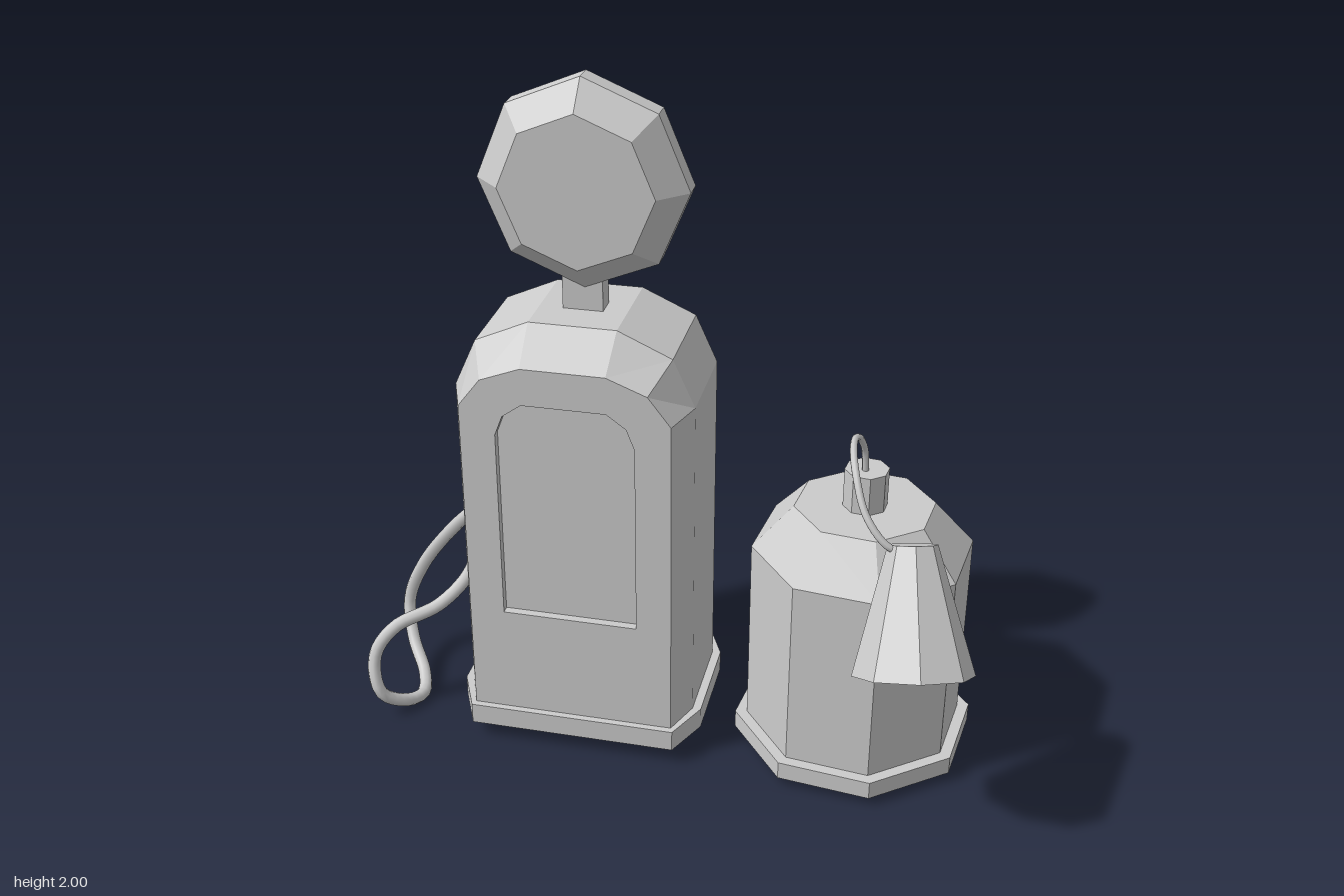
import * as THREE from 'three';
import { mergeGeometries } from 'three/addons/utils/BufferGeometryUtils.js';

const flat = new THREE.MeshStandardMaterial({ color: 0xcccccc, flatShading: true, side: THREE.DoubleSide });
const smooth = new THREE.MeshStandardMaterial({ color: 0xcccccc });

const V = (x, y, z) => new THREE.Vector3(x, y, z);
const shapeOf = (pts) => new THREE.Shape(pts.map(([x, y]) => new THREE.Vector2(x, y)));
// Right half of a symmetric outline, completed with its mirror image
const mirrored = (half) => [...half, ...half.slice().reverse().map(([x, y]) => [-x, y])];

function add(parent, name, geometry, material = flat) {
  const mesh = new THREE.Mesh(geometry, material);
  mesh.name = name;
  parent.add(mesh);
  return mesh;
}

// Quads between successive rings, each ring given as [outline, z]; skip(ring, side) leaves gaps
function loft(rings, closed = false, skip = () => false) {
  const pos = [];
  for (let r = 0; r < rings.length - 1; r++) {
    const [p, z0] = rings[r], [q, z1] = rings[r + 1];
    const count = closed ? p.length : p.length - 1;
    for (let i = 0; i < count; i++) {
      if (skip(r, i)) continue;
      const j = (i + 1) % p.length;
      const a = [...p[i], z0], b = [...p[j], z0], c = [...q[j], z1], d = [...q[i], z1];
      pos.push(...a, ...d, ...b, ...b, ...d, ...c);
    }
  }
  const g = new THREE.BufferGeometry();
  g.setAttribute('position', new THREE.Float32BufferAttribute(pos, 3));
  g.computeVertexNormals();
  return g;
}

function plainFace(shape) {
  const g = new THREE.ShapeGeometry(shape).toNonIndexed();
  g.deleteAttribute('uv');
  return g;
}

// Flat face with a sunken panel
function recessedFace(outline, hole, depth) {
  const face = shapeOf(outline);
  face.holes.push(shapeOf(hole));
  const rim = hole.slice().reverse();
  return mergeGeometries([
    plainFace(face),
    plainFace(shapeOf(hole)).translate(0, 0, -depth),
    loft([[rim, 0], [rim, -depth]], true),
  ]);
}

function lathe(points, phi = 0) {
  return new THREE.LatheGeometry(points.map(([x, y]) => new THREE.Vector2(x, y)), 8, phi);
}

function tube(points, radius, segments) {
  return new THREE.TubeGeometry(new THREE.CatmullRomCurve3(points), segments, radius, 8);
}

// Eight-cornered plan: full width w with flat half-depth f, narrowed to c at half-depth d
const plan = (w, f, c, d) => [[w, -f], [w, f], [c, d], [-c, d], [-w, f], [-w, -f], [-c, -d], [c, -d]];

function makePump() {
  const pump = new THREE.Group();
  pump.name = 'pump';
  pump.position.set(-0.257, 0, -0.135);

  // Arched body with bevelled front and back
  const big = mirrored([[0.343, 0.05], [0.343, 1.13], [0.28, 1.27], [0.125, 1.34]]);
  const small = mirrored([[0.3, 0.05], [0.3, 1.12], [0.235, 1.205], [0.12, 1.25]]);
  const sideIndex = big.length - 2;
  add(pump, 'bodyShell', loft(
    [[small, 0.26], [big, 0.15], [big, -0.15], [small, -0.26]], false,
    (r, i) => r === 1 && i === sideIndex));
  const panel = mirrored([[0.198, 0.455], [0.198, 1.04], [0.175, 1.1], [0.12, 1.14]]);
  add(pump, 'frontPanel', recessedFace(small, panel, 0.025)).position.z = 0.26;
  const back = add(pump, 'backPanel', plainFace(shapeOf(small)));
  back.rotation.y = Math.PI;
  back.position.z = -0.26;

  // Side wall with the niche for the hose
  const side = add(pump, 'sideNiche', recessedFace(
    [[-0.15, 0.05], [0.15, 0.05], [0.15, 1.13], [-0.15, 1.13]],
    [[-0.045, 0.4], [0.105, 0.4], [0.105, 0.96], [-0.045, 0.96]], 0.07));
  side.rotation.y = -Math.PI / 2;
  side.position.x = -0.343;
  add(pump, 'nicheHook', new THREE.BoxGeometry(0.06, 0.05, 0.15)).position.set(-0.315, 0.8, 0.03);

  // Plinth frame, open underneath
  const frame = shapeOf(plan(0.368, 0.15, 0.308, 0.28));
  frame.holes.push(shapeOf(plan(0.343, 0.15, 0.3, 0.26)));
  add(pump, 'plinth', new THREE.ExtrudeGeometry(frame, { depth: 0.065, bevelEnabled: false })
    .rotateX(-Math.PI / 2).translate(0, 0.053, 0));

  // Neck and round sign
  add(pump, 'signNeck', new THREE.BoxGeometry(0.115, 0.16, 0.065)).position.set(0, 1.4, 0.005);
  const sign = add(pump, 'sign', lathe(
    [[0, -0.105], [0.217, -0.105], [0.295, -0.03], [0.295, 0.03], [0.217, 0.105], [0, 0.105]]));
  sign.rotation.x = Math.PI / 2;
  sign.position.set(0.008, 1.705, 0.01);
  return pump;
}

function makeCan() {
  const can = new THREE.Group();
  can.name = 'can';
  can.position.set(0.548, 0, -0.137);
  const phi = 0.27;
  // Hollow vessel with a foot rim and a sloped shoulder
  add(can, 'vessel', lathe([[0.32, 0.03], [0.355, 0.03], [0.355, 0.085], [0.32, 0.085],
    [0.32, 0.67], [0.203, 0.8], [0, 0.8]], phi));
  add(can, 'spout', lathe([[0.064, 0.79], [0.064, 0.917], [0, 0.917]], phi));
  return can;
}

export function createModel() {
  const model = new THREE.Group();
  model.name = 'fuelPumpAndCan';
  model.add(makePump(), makeCan());

  // Looped hose on the pump's side
  add(model, 'hose', tube([
    V(-0.57, 0.89, -0.28), V(-0.62, 0.885, -0.285), V(-0.658, 0.83, -0.275), V(-0.64, 0.7, -0.225),
    V(-0.618, 0.55, -0.17), V(-0.64, 0.42, -0.12), V(-0.72, 0.33, -0.05), V(-0.84, 0.28, 0.03),
    V(-0.893, 0.2, 0.075), V(-0.87, 0.09, 0.112), V(-0.81, 0.035, 0.065), V(-0.777, 0.022, 0),
    V(-0.8, 0.04, -0.08), V(-0.865, 0.1, -0.17), V(-0.895, 0.2, -0.235), V(-0.84, 0.34, -0.23),
    V(-0.7, 0.54, -0.175), V(-0.58, 0.67, -0.135)], 0.02, 90), smooth);

  // Thin line from the can's spout to the hanging funnel
  add(model, 'funnelLine', tube([
    V(0.545, 0.9, -0.13), V(0.54, 0.99, -0.115), V(0.528, 1.06, -0.05), V(0.523, 1.08, 0.02),
    V(0.54, 1.045, 0.11), V(0.585, 0.95, 0.185), V(0.65, 0.88, 0.207), V(0.7, 0.86, 0.19)], 0.01, 40), smooth);
  const top = V(0.71, 0.875, 0.172), bottom = V(0.748, 0.567, 0.33);
  const axis = top.clone().sub(bottom);
  const funnel = add(model, 'funnel', new THREE.CylinderGeometry(0.067, 0.165, axis.length(), 8, 1, false, 0.2));
  funnel.position.copy(top).add(bottom).multiplyScalar(0.5);
  funnel.quaternion.setFromUnitVectors(V(0, 1, 0), axis.normalize());
  return model;
}
